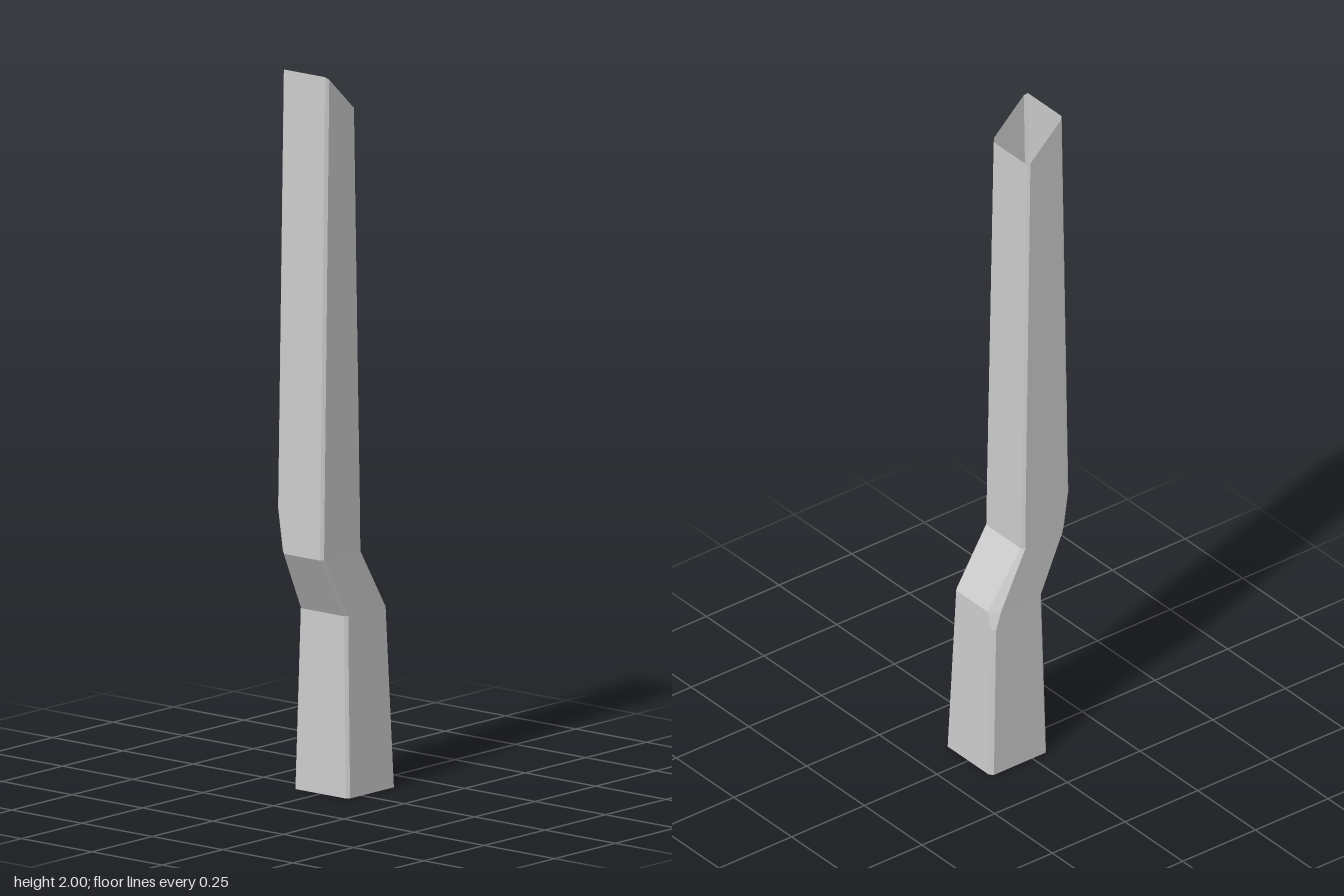
import * as THREE from 'three';

// Cross-sections, bottom to top: left x, right x, y at left, y at right, half depth,
// then the bevel of the back corners at -x and +x
const RINGS = [
  [-0.055, 0.142, 0, 0, 0.098, 0.01, 0.01],
  [-0.048, 0.125, 0.45, 0.45, 0.086, 0.009, 0.01],
  [-0.047, 0.123, 0.5, 0.5, 0.085, 0.009, 0.025],
  [-0.145, 0.021, 0.67, 0.67, 0.083, 0.03, 0.009],
  [-0.143, 0.019, 0.79, 0.79, 0.083, 0.009, 0.008],
  [-0.12, -0.002, 2, 1.89, 0.08, 0.006, 0.006],
];
const FRONT_BEVEL = 0.008;

// Eight corner points of one bevelled rectangle, counter-clockwise from below
function ringPoints([xl, xr, yl, yr, d, backL, backR]) {
  const f = FRONT_BEVEL;
  const outline = [
    [xr - f, d], [xr, d - f],
    [xr, -d + backR], [xr - backR, -d],
    [xl + backL, -d], [xl, -d + backL],
    [xl, d - f], [xl + f, d],
  ];
  return outline.map(([x, z]) => {
    const t = (x - xl) / (xr - xl);
    return [x, yl + (yr - yl) * t, z];
  });
}

export function createModel() {
  const group = new THREE.Group();
  group.name = 'bentDuct';

  const positions = [];
  const index = [];
  RINGS.forEach((ring) => ringPoints(ring).forEach((p) => positions.push(...p)));

  // Walls between neighbouring rings; both ends stay open
  for (let r = 0; r < RINGS.length - 1; r++) {
    for (let i = 0; i < 8; i++) {
      const a = r * 8 + i;
      const b = r * 8 + (i + 1) % 8;
      index.push(a, b, b + 8, a, b + 8, a + 8);
    }
  }

  const geometry = new THREE.BufferGeometry();
  geometry.setAttribute('position', new THREE.Float32BufferAttribute(positions, 3));
  geometry.setIndex(index);
  const flat = geometry.toNonIndexed();
  flat.computeVertexNormals();

  const tube = new THREE.Mesh(flat, new THREE.MeshStandardMaterial({
    color: 0xcccccc, flatShading: true, side: THREE.DoubleSide,
  }));
  tube.name = 'openSquareTube';
  group.add(tube);
  return group;
}
